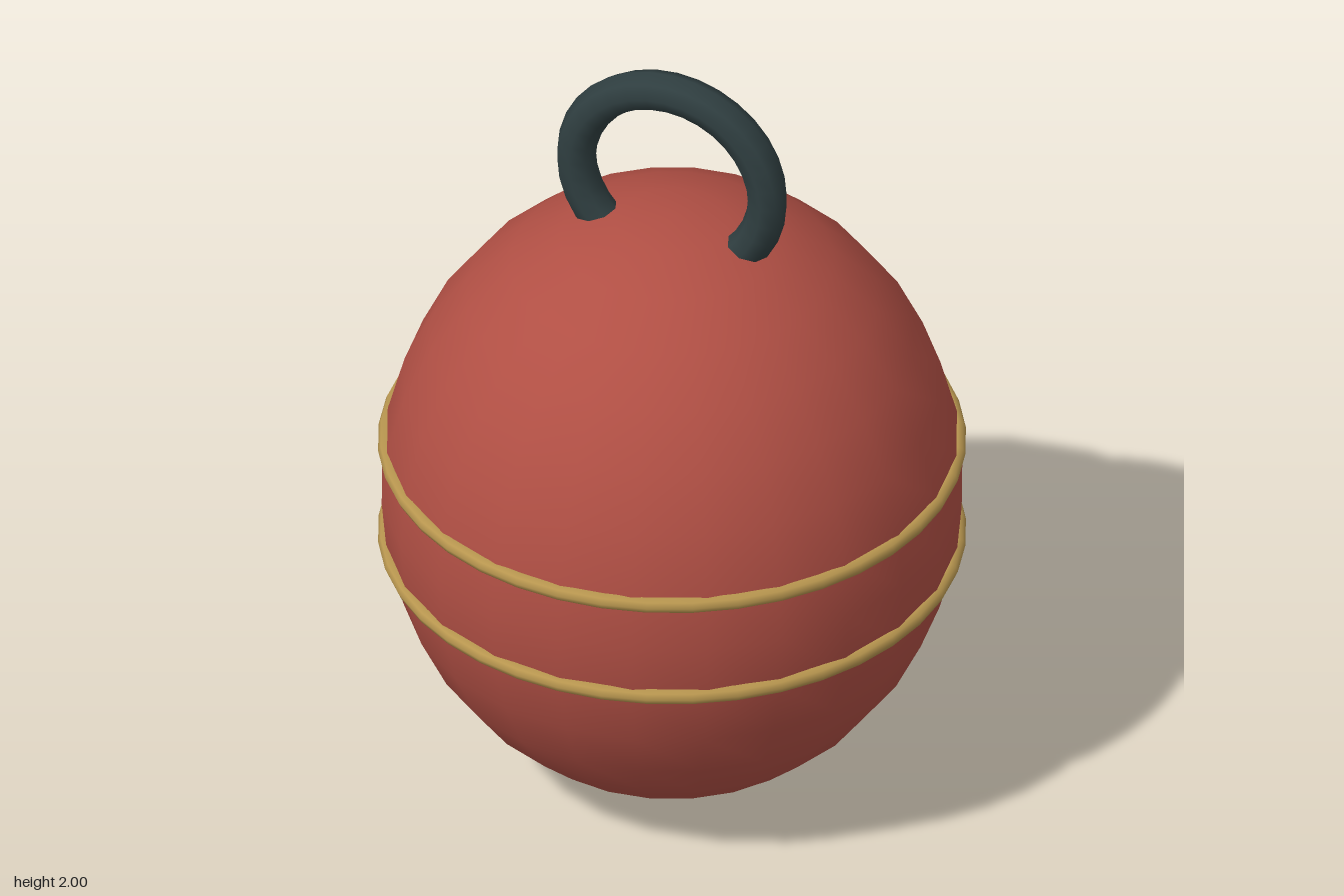
import * as THREE from 'three';

export function createModel() {
  const model = new THREE.Group();
  const red = new THREE.MeshStandardMaterial({ name: 'brick red', color: 0xb04f44 });
  const gold = new THREE.MeshStandardMaterial({ name: 'brass', color: 0xb8964f });
  const dark = new THREE.MeshStandardMaterial({ name: 'dark iron', color: 0x2f3e40 });

  const add = (name, geometry, material, y) => {
    const mesh = new THREE.Mesh(geometry, material);
    mesh.name = name;
    mesh.position.y = y;
    model.add(mesh);
    return mesh;
  };

  // Slightly tall round body
  const bodyGeometry = new THREE.SphereGeometry(1, 24, 16).scale(0.705, 0.79, 0.705);
  add('body', bodyGeometry, red, 0.795);

  // Two bands either side of the middle
  for (const [name, y] of [['upperBand', 0.925], ['lowerBand', 0.655]]) {
    add(name, new THREE.TorusGeometry(0.69, 0.02, 8, 40).rotateX(Math.PI / 2), gold, y);
  }

  // Hanging ring sunk into the top
  add('hangingRing', new THREE.TorusGeometry(0.25, 0.05, 8, 32), dark, 1.7);

  return model;
}
